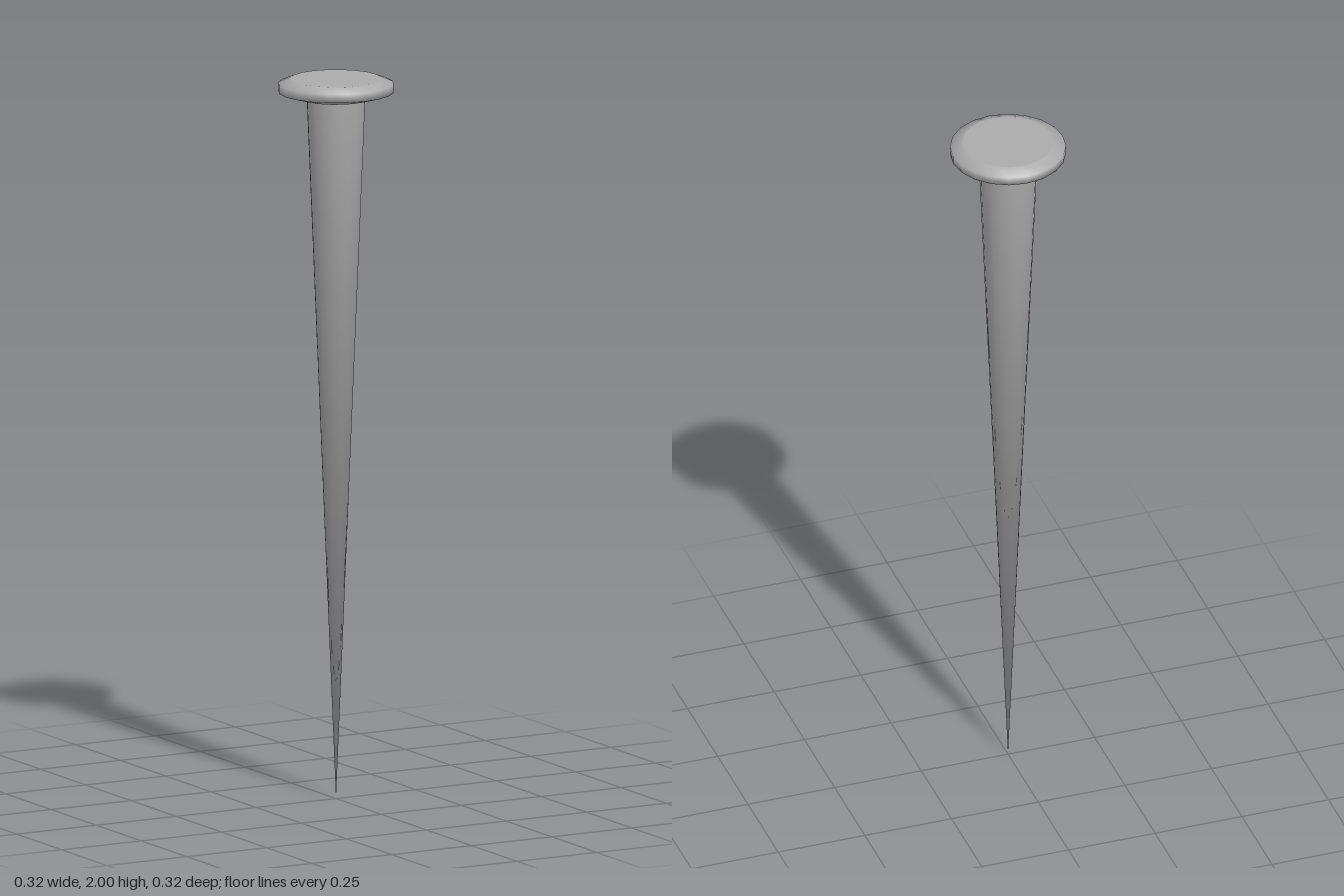
import * as THREE from 'three';
import { mergeVertices } from 'three/addons/utils/BufferGeometryUtils.js';

const SIDES = 20;

export function createModel() {
  const group = new THREE.Group();
  group.name = 'nail';
  const material = new THREE.MeshStandardMaterial({ color: 0xaaaaaa });

  // Revolve a bottom-to-top profile of [radius, height] pairs,
  // welded so that shading runs smoothly over the whole part
  const turned = (name, profile) => {
    const points = profile.map(([r, y]) => new THREE.Vector2(r, y));
    const lathe = new THREE.LatheGeometry(points, SIDES);
    lathe.deleteAttribute('normal');
    lathe.deleteAttribute('uv');
    const geometry = mergeVertices(lathe);
    geometry.computeVertexNormals();
    const mesh = new THREE.Mesh(geometry, material);
    mesh.name = name;
    group.add(mesh);
  };

  // Long taper from the point, flaring into the head and its softened rim
  turned('shaftAndRim', [
    [0, 0], [0.08, 1.943], [0.102, 1.947],
    [0.158, 1.963], [0.158, 1.987], [0.125, 2],
  ]);
  // Flat striking face
  turned('headTop', [[0.125, 2], [0, 2]]);

  return group;
}
